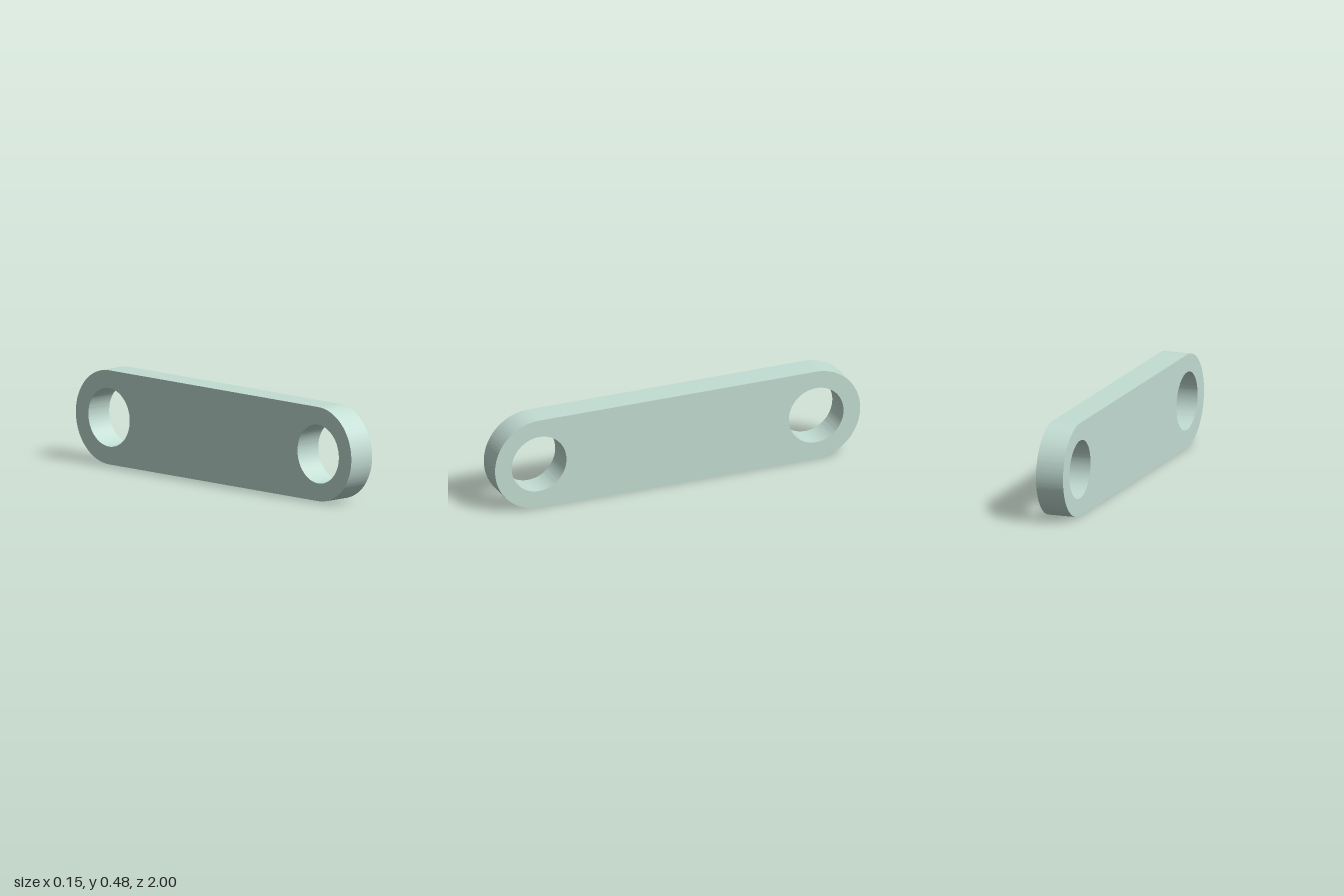
import * as THREE from 'three';
import { toCreasedNormals } from 'three/addons/utils/BufferGeometryUtils.js';

const RADIUS = 0.241;          // rounded ends, half the height
const CENTRE = 1 - RADIUS;     // distance of each hole from the middle
const HOLE = 0.15;
const THICKNESS = 0.146;

export function createModel() {
  const group = new THREE.Group();
  group.name = 'link';

  // Stadium outline with one round hole at each end
  const outline = new THREE.Shape();
  outline.absarc(CENTRE, RADIUS, RADIUS, -Math.PI / 2, Math.PI / 2, false);
  outline.absarc(-CENTRE, RADIUS, RADIUS, Math.PI / 2, Math.PI * 1.5, false);
  outline.closePath();
  for (const side of [-1, 1]) {
    const hole = new THREE.Path();
    hole.absarc(side * CENTRE, RADIUS, HOLE, 0, Math.PI * 2, true);
    outline.holes.push(hole);
  }

  // Plate thickness runs along x, its length along z
  const plate = new THREE.ExtrudeGeometry(outline, {
    depth: THICKNESS, bevelEnabled: false, curveSegments: 48,
  });
  plate.translate(0, 0, -THICKNESS / 2);
  plate.rotateY(-Math.PI / 2);

  const mesh = new THREE.Mesh(
    toCreasedNormals(plate, Math.PI / 6),
    new THREE.MeshStandardMaterial({ color: 0xc3ded4 }),
  );
  mesh.name = 'linkPlate';
  group.add(mesh);
  return group;
}
